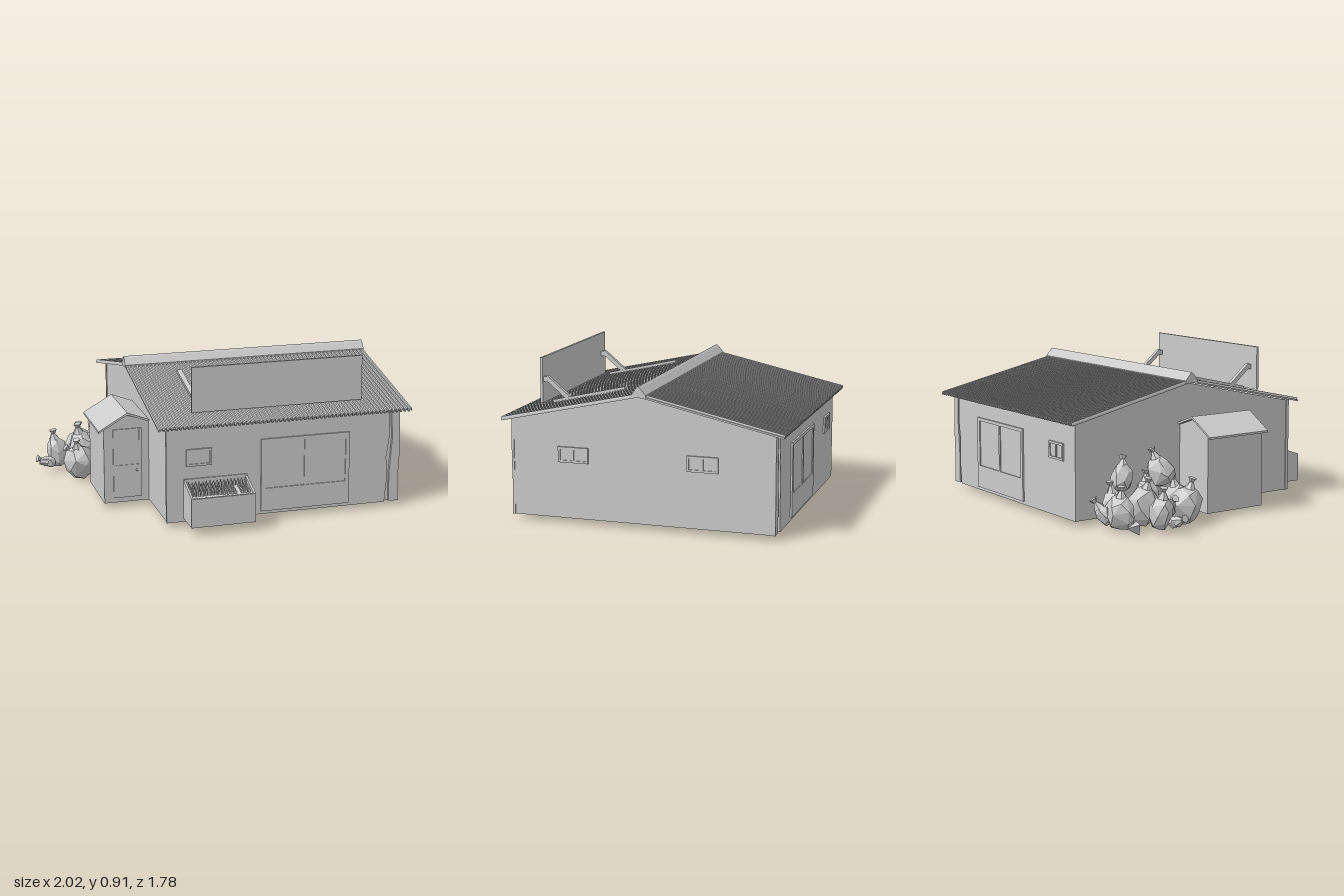
import * as THREE from 'three';
import { ConvexGeometry } from 'three/addons/geometries/ConvexGeometry.js';

const mat = new THREE.MeshStandardMaterial({ color: 0xcccccc, flatShading: true, side: THREE.DoubleSide });

let seed = 7;
const rand = () => (seed = (seed * 16807) % 2147483647) / 2147483647;

function add(parent, name, geo, x = 0, y = 0, z = 0) {
  const m = new THREE.Mesh(geo, mat);
  m.name = name;
  m.position.set(x, y, z);
  parent.add(m);
  return m;
}
// box given by its min and max corners
const block = (parent, name, x0, x1, y0, y1, z0, z1) =>
  add(parent, name, new THREE.BoxGeometry(x1 - x0, y1 - y0, z1 - z0), (x0 + x1) / 2, (y0 + y1) / 2, (z0 + z1) / 2);

const shapeOf = (pts) => new THREE.Shape(pts.map(([a, b]) => new THREE.Vector2(a, b)));
const extrude = (shape, depth) => new THREE.ExtrudeGeometry(shape, { depth, bevelEnabled: false });
// profile of [z, y] points swept along x from x0 to x1
const sweepX = (pts, x0, x1) =>
  extrude(shapeOf(pts.map(([z, y]) => [-z, y])), x1 - x0).rotateY(Math.PI / 2).translate(x0, 0, 0);

// beam between two points of the z-y plane
function beam(parent, name, x, [z0, y0], [z1, y1], w, t) {
  const m = add(parent, name, new THREE.BoxGeometry(w, t, Math.hypot(z1 - z0, y1 - y0)), x, (y0 + y1) / 2, (z0 + z1) / 2);
  m.rotation.x = -Math.atan2(y1 - y0, z1 - z0);
}

// framed opening with panes, centred at the origin and facing +z
function glazed(name, w, h, panes, depth = 0.014) {
  const g = new THREE.Group();
  g.name = name;
  const rect = (x0, y0, x1, y1) => [[x0, y0], [x1, y0], [x1, y1], [x0, y1]];
  const frame = shapeOf(rect(-w / 2, -h / 2, w / 2, h / 2));
  for (const [x0, y0, x1, y1] of panes) {
    frame.holes.push(shapeOf(rect(x0, y0, x1, y1)));
    block(g, 'pane', x0, x1, y0, y1, 0, depth * 0.55);
  }
  add(g, 'frame', extrude(frame, depth));
  return g;
}
const smallWindow = (w, h) =>
  glazed('window', w, h, [[-w / 2 + 0.013, -h / 2 + 0.013, -0.006, h / 2 - 0.013], [0.006, -h / 2 + 0.013, w / 2 - 0.013, h / 2 - 0.013]]);
const slidingDoor = () =>
  glazed('slidingDoor', 0.54, 0.435, [[-0.24, -0.08, -0.008, 0.198], [0.008, -0.08, 0.246, 0.198]]);

function place(parent, obj, x, y, z, ry = 0) {
  obj.position.set(x, y, z);
  obj.rotation.y = ry;
  parent.add(obj);
}

function corrugatedSheet(width, length, ribs) {
  const top = [], p = width / ribs, a = 0.011;
  for (let i = 0; i < ribs; i++) {
    const x = -width / 2 + i * p;
    top.push([x, 0], [x + p * 0.4, 0], [x + p * 0.5, a], [x + p * 0.9, a]);
  }
  top.push([width / 2, 0]);
  const bottom = top.map(([x, y]) => [x, y - 0.01]).reverse();
  return extrude(shapeOf([...top, ...bottom]), length);
}

function building() {
  const g = new THREE.Group();
  g.name = 'building';
  add(g, 'walls', sweepX([[-0.82, 0.02], [0.7, 0.02], [0.7, 0.58], [-0.07, 0.75], [-0.82, 0.58]], -0.475, 0.937));
  // plaster facades with an uneven edge near the corner
  for (const z of [0.7, -0.84]) {
    const s = shapeOf([[-0.48, 0.02], [0.85, 0.02], [0.862, 0.15], [0.855, 0.3], [0.872, 0.42], [0.865, 0.585], [-0.48, 0.585]]);
    add(g, 'facade', extrude(s, 0.02), 0, 0, z);
  }
  const corner = shapeOf([[0.88, 0.02], [0.942, 0.02], [0.936, 0.2], [0.943, 0.35], [0.935, 0.58], [0.885, 0.58], [0.892, 0.4], [0.878, 0.2]]);
  for (const z of [0.7, -0.835]) add(g, 'cornerPost', extrude(corner, 0.015), 0, 0, z);
  // doors and windows front and back
  for (const [z, ry] of [[0.716, 0], [-0.836, Math.PI]]) {
    place(g, slidingDoor(), 0.35, 0.257, z, ry);
    place(g, smallWindow(0.15, 0.1), -0.29, 0.4, z, ry);
  }
  // side windows
  for (const z of [0.34, -0.42]) place(g, smallWindow(0.18, 0.09), 0.934, 0.39, z, Math.PI / 2);
  return g;
}

function roof() {
  const g = new THREE.Group();
  g.name = 'roof';
  const sheet = corrugatedSheet(1.525, 0.842, 62), pitch = Math.atan2(0.18, 0.82);
  for (const ry of [0, Math.PI]) {
    const m = add(g, 'corrugatedSheet', sheet, 0.232, 0.765, -0.07);
    m.rotation.set(pitch, ry, 0, 'YXZ');
  }
  add(g, 'ridgeCap', sweepX([[-0.112, 0.752], [-0.028, 0.752], [-0.028, 0.768], [-0.055, 0.805], [-0.068, 0.816], [-0.08, 0.805], [-0.112, 0.768]], -0.535, 0.998));
  return g;
}

function signboard() {
  const g = new THREE.Group();
  g.name = 'signboard';
  block(g, 'board', -0.303, 0.727, 0.632, 0.898, 0.607, 0.622);
  for (const x of [-0.238, 0.702]) {
    beam(g, 'roofRail', x, [0.55, 0.645], [0.11, 0.747], 0.03, 0.016);
    beam(g, 'brace', x, [0.592, 0.782], [0.448, 0.662], 0.026, 0.026);
    block(g, 'bracket', x - 0.012, x + 0.012, 0.755, 0.785, 0.575, 0.61);
  }
  return g;
}

function shed() {
  const g = new THREE.Group();
  g.name = 'shed';
  add(g, 'shedWalls', extrude(shapeOf([[-0.745, 0.02], [-0.47, 0.02], [-0.47, 0.505], [-0.605, 0.55], [-0.745, 0.475]]), 0.4), 0, 0, -0.11);
  for (const [x, y] of [[-0.777, 0.458], [-0.465, 0.505]]) {
    const s = shapeOf([[-0.605, 0.556], [x, y], [x, y + 0.012], [-0.605, 0.57]]);
    add(g, 'shedRoofPanel', extrude(s, 0.43), 0, 0, -0.122);
  }
  place(g, glazed('shedDoor', 0.17, 0.42, [[-0.07, -0.01, 0.07, 0.2]], 0.01), -0.605, 0.26, 0.288);
  add(g, 'doorKnob', new THREE.SphereGeometry(0.008, 8, 6), -0.548, 0.215, 0.3);
  return g;
}

function displayCase() {
  const g = new THREE.Group();
  g.name = 'displayCase';
  const x0 = -0.38, x1 = -0.003, t = 0.012;
  add(g, 'caseBody', sweepX([[0.7, 0.045], [0.882, 0.045], [0.882, 0.185], [0.7, 0.232]], x0 + t, x1 - t));
  const side = [[0.7, 0.04], [0.89, 0.04], [0.89, 0.21], [0.7, 0.275]];
  for (const x of [x0, x1 - t]) add(g, 'caseSide', sweepX(side, x, x + t));
  block(g, 'caseFront', x0, x1, 0.04, 0.21, 0.878, 0.89);
  block(g, 'caseBack', x0, x1, 0.04, 0.275, 0.7, 0.727);
  // goods on the sloping tray
  const trayY = (z) => 0.232 - (z - 0.7) * 0.258;
  const bottle = new THREE.LatheGeometry([[0, 0], [0.008, 0], [0.008, 0.022], [0.003, 0.03], [0.003, 0.038], [0, 0.038]].map(([r, y]) => new THREE.Vector2(r, y)), 6);
  for (let r = 0; r < 4; r++) {
    const z = 0.742 + r * 0.026;
    for (let i = 0; i < 17; i++) {
      const x = -0.357 + i * 0.021;
      if (i < 9 || r === 0) add(g, 'bottle', bottle, x, trayY(z), z);
      else if (i !== 13) add(g, 'packet', new THREE.BoxGeometry(0.015, 0.016, 0.018), x, trayY(z) + 0.006, z);
    }
  }
  for (let i = 0; i < 14; i++) block(g, 'smallPacket', -0.36 + i * 0.025, -0.344 + i * 0.025, 0.18, 0.2, 0.845, 0.862);
  return g;
}

// faceted sack with a tied neck
function rubbishBag(rx, ry, rz) {
  const g = new THREE.Group();
  g.name = 'rubbishBag';
  const pts = [], n = 26;
  for (let i = 0; i < n; i++) {
    const v = 1 - (2 * (i + 0.5)) / n, a = i * 2.4 + rand() * 0.7, r = Math.sqrt(1 - v * v) * (0.9 + rand() * 0.2);
    pts.push(new THREE.Vector3(rx * r * Math.cos(a), ry * Math.max(v, -0.8), rz * r * Math.sin(a)));
  }
  add(g, 'sack', new ConvexGeometry(pts));
  add(g, 'neck', new THREE.CylinderGeometry(0.012, 0.035, 0.04, 6), 0, ry, 0);
  add(g, 'tie', new THREE.CylinderGeometry(0.026, 0.01, 0.026, 5), 0.004, ry + 0.03, 0);
  return g;
}

function rubbishHeap() {
  const g = new THREE.Group();
  g.name = 'rubbishHeap';
  // x, y, z, radii, tilt about x and z
  const bags = [
    [-0.69, 0.09, -0.68, 0.1, 0.11, 0.08, 0, 0.1], [-0.58, 0.1, -0.64, 0.06, 0.11, 0.08, -0.2, 0],
    [-0.71, 0.11, -0.54, 0.085, 0.13, 0.09, 0.1, 0.2], [-0.87, 0.1, -0.53, 0.065, 0.11, 0.07, 0, 0.2],
    [-0.77, 0.1, -0.29, 0.1, 0.12, 0.1, 0.2, 0.2], [-0.64, 0.1, -0.25, 0.09, 0.11, 0.08, -0.2, 0],
    [-0.6, 0.12, -0.44, 0.07, 0.13, 0.09, 0, 0], [-0.74, 0.08, -0.41, 0.07, 0.09, 0.06, 0, 0.9],
    [-0.63, 0.28, -0.36, 0.075, 0.1, 0.08, -0.3, -0.2], [-0.59, 0.26, -0.6, 0.06, 0.09, 0.07, 0.3, -0.3],
    [-0.93, 0.055, -0.48, 0.035, 0.045, 0.035, 0.3, 1.2], [-0.62, 0.07, -0.74, 0.06, 0.07, 0.04, -0.5, -0.3],
  ];
  for (const [x, y, z, rx, ry, rz, tx, tz] of bags) {
    const b = rubbishBag(rx, ry, rz);
    b.position.set(x, y, z);
    b.rotation.set(tx, 0, tz);
    g.add(b);
  }
  // loose litter at the edge
  const scrap = add(g, 'litter', new THREE.TetrahedronGeometry(0.05), -0.84, 0.035, -0.68);
  scrap.rotation.set(0.4, 0.5, 0.2);
  add(g, 'litter', new THREE.CylinderGeometry(0.018, 0.022, 0.05, 6).rotateZ(1.4), -0.972, 0.065, -0.455);
  add(g, 'litter', new THREE.DodecahedronGeometry(0.03), -0.66, 0.03, -0.38);
  return g;
}

export function createModel() {
  const model = new THREE.Group();
  model.name = 'roadsideShop';
  model.add(building(), roof(), signboard(), shed(), displayCase(), rubbishHeap());
  return model;
}
